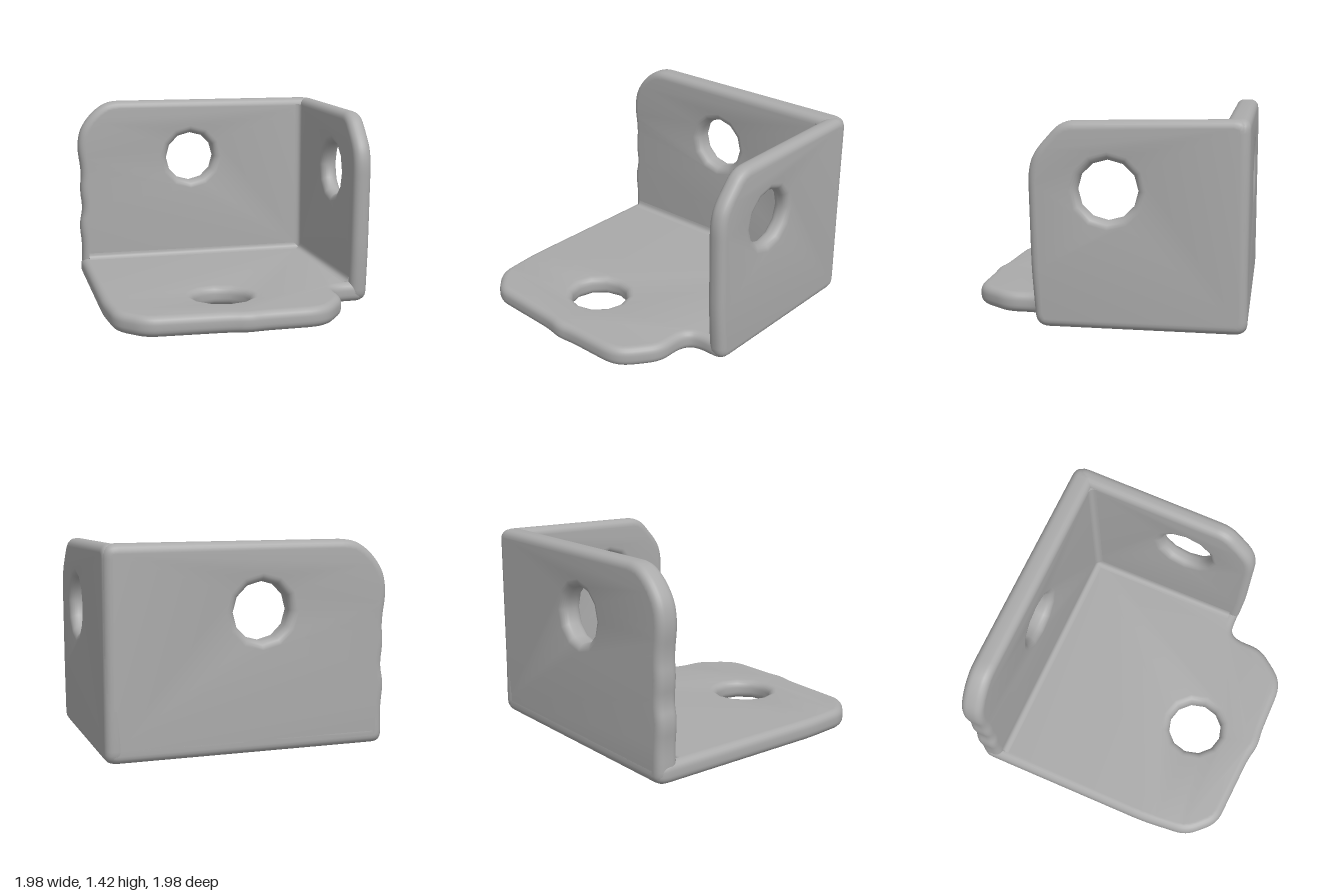
import * as THREE from 'three';
import { toCreasedNormals } from 'three/addons/utils/BufferGeometryUtils.js';

const BEVEL = 0.055;

// closed outline whose corners are softened by curves
function roundedOutline(points, r) {
  const pts = points.map(([x, y]) => new THREE.Vector2(x, y));
  const shape = new THREE.Shape();
  pts.forEach((p, i) => {
    const prev = pts[(i + pts.length - 1) % pts.length];
    const next = pts[(i + 1) % pts.length];
    const toward = (q) => p.clone().lerp(q, Math.min(r / p.distanceTo(q), 0.45));
    const a = toward(prev), b = toward(next);
    if (i === 0) shape.moveTo(a.x, a.y);
    else shape.lineTo(a.x, a.y);
    shape.quadraticCurveTo(p.x, p.y, b.x, b.y);
  });
  shape.closePath();
  return shape;
}

// plate with rounded rim and one bolt hole, lying between z = 0 and z = thickness
function plateGeometry(points, [hx, hy, hr], thickness) {
  const shape = roundedOutline(points, 0.09);
  shape.holes.push(new THREE.Path().absarc(hx, hy, hr, 0, Math.PI * 2, true));
  const geo = new THREE.ExtrudeGeometry(shape, {
    depth: thickness - 2 * BEVEL, bevelEnabled: true, bevelThickness: BEVEL,
    bevelSize: BEVEL, bevelOffset: -BEVEL, bevelSegments: 5, curveSegments: 6,
  });
  geo.translate(0, 0, BEVEL);
  return geo;
}

// concave strip that softens an inside corner
function filletGeometry(sign, length) {
  const r = 0.045, o = -0.01;
  const s = new THREE.Shape();
  s.moveTo(sign * o, o);
  s.lineTo(sign * r, o);
  s.lineTo(sign * r, 0);
  s.quadraticCurveTo(0, 0, 0, r);
  s.lineTo(sign * o, r);
  s.closePath();
  return new THREE.ExtrudeGeometry(s, { depth: length, bevelEnabled: false, curveSegments: 5 });
}

export function createModel() {
  const group = new THREE.Group();
  group.name = 'cornerBracket';
  const metal = new THREE.MeshStandardMaterial({ color: 0xaaaaaa });
  metal.name = 'grey metal';
  const add = (name, geo, x, y, z) => {
    geo.translate(x, y, z);
    const mesh = new THREE.Mesh(toCreasedNormals(geo, 0.8), metal);
    mesh.name = name;
    group.add(mesh);
  };

  // base plate, outline in x and z
  const base = plateGeometry([
    [-0.99, -0.985], [0.985, -0.985], [0.985, 0.43], [0.75, 0.43], [0.69, 0.5],
    [0.69, 0.72], [0.53, 0.93], [0.42, 0.98], [0.05, 0.98], [-0.07, 0.995],
    [-0.2, 0.965], [-0.77, 0.935], [-0.95, 0.75], [-0.985, 0.4],
  ], [-0.14, 0.485, 0.208], 0.145);
  base.rotateX(Math.PI / 2);
  add('basePlate', base, 0, 0.145, 0);

  // back wall, outline in x and y, with a slightly worn free edge
  const back = plateGeometry([
    [-0.985, 0], [0.99, 0], [0.985, 1.42], [-0.75, 1.42], [-0.88, 1.33],
    [-0.975, 1.2], [-1, 1.05], [-0.97, 0.85], [-0.985, 0.7], [-0.965, 0.55],
    [-0.995, 0.42], [-0.975, 0.25],
  ], [-0.08, 0.955, 0.2], 0.165);
  add('backWall', back, 0, 0, -0.985);

  // side wall, outline in -z and y
  const side = plateGeometry([
    [-0.43, 0], [0.99, 0], [0.97, 1.42], [-0.25, 1.395], [-0.44, 1.18],
    [-0.475, 1.05], [-0.46, 0.4],
  ], [0.06, 0.94, 0.203], 0.13);
  side.rotateY(Math.PI / 2);
  add('sideWall', side, 0.86, 0, 0);

  // inside bends between the three plates
  const backBend = filletGeometry(1, 1.83);
  backBend.rotateY(-Math.PI / 2);
  add('backBend', backBend, 0.9, 0.145, -0.82);
  add('sideBend', filletGeometry(-1, 1.22), 0.86, 0.145, -0.85);
  const uprightBend = filletGeometry(-1, 1.26);
  uprightBend.rotateX(Math.PI / 2);
  add('uprightBend', uprightBend, 0.86, 1.37, -0.82);

  return group;
}
